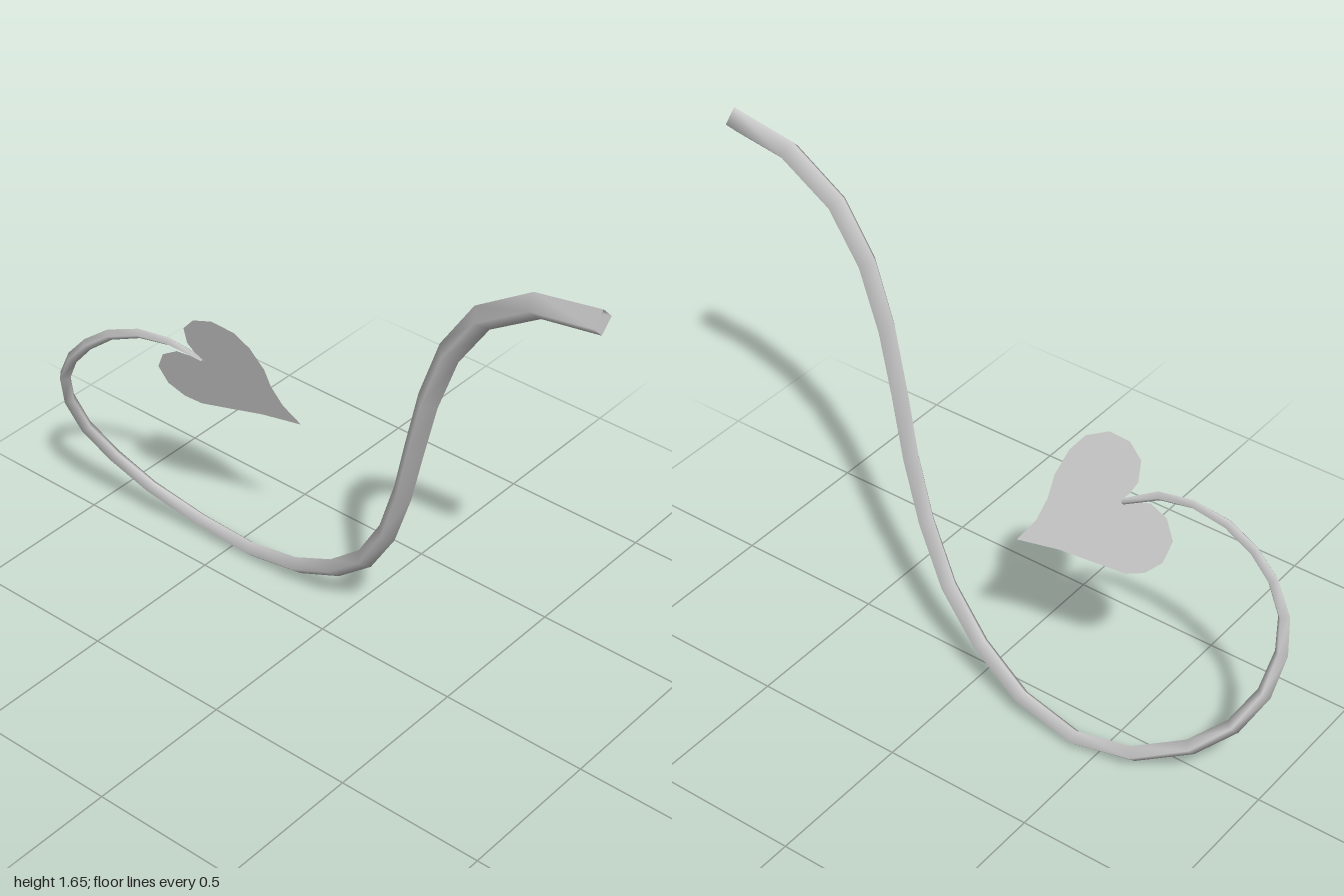
import * as THREE from 'three';

const material = new THREE.MeshStandardMaterial({ color: 0xcccccc, side: THREE.DoubleSide });

// Tail centre line, from the open root to the heart
const PATH = [
  [-0.05, 1.61, 1], [-0.05, 1.575, 0.79], [-0.05, 1.46, 0.61], [-0.048, 1.295, 0.5],
  [-0.04, 1.095, 0.425], [-0.023, 0.88, 0.365], [0, 0.69, 0.31], [0.023, 0.49, 0.235],
  [0.06, 0.31, 0.12], [0.095, 0.175, -0.03], [0.125, 0.075, -0.21], [0.135, 0.03, -0.42],
  [0.115, 0.06, -0.62], [0.063, 0.145, -0.79], [0.01, 0.25, -0.9], [-0.05, 0.37, -0.962],
  [-0.1, 0.5, -0.98], [-0.13, 0.61, -0.962], [-0.142, 0.71, -0.91], [-0.14, 0.79, -0.84],
  [-0.125, 0.855, -0.755], [-0.102, 0.893, -0.65], [-0.075, 0.893, -0.55], [-0.035, 0.85, -0.45],
].map((p) => new THREE.Vector3(...p));

// Tapered tube with a four-sided diamond section, one ring per path point
function tailGeometry() {
  const sides = 4, last = PATH.length - 1;
  const positions = [], index = [];
  PATH.forEach((p, i) => {
    const before = PATH[Math.max(i - 1, 0)], after = PATH[Math.min(i + 1, last)];
    const tangent = i === 0 ? new THREE.Vector3(0, 0, -1) : after.clone().sub(before).normalize();
    const side = new THREE.Vector3(1, 0, 0).addScaledVector(tangent, -tangent.x).normalize();
    const up = new THREE.Vector3().crossVectors(side, tangent);
    const t = i / last;
    const radius = i === last ? 0.01 : THREE.MathUtils.lerp(0.041, 0.014, t);
    for (let j = 0; j < sides; j++) {
      const a = (j / sides) * Math.PI * 2;
      const v = p.clone().addScaledVector(side, Math.cos(a) * radius).addScaledVector(up, Math.sin(a) * radius);
      positions.push(v.x, v.y, v.z);
      if (i < last) {
        const k = i * sides + j, n = i * sides + ((j + 1) % sides);
        index.push(k, k + sides, n, n, k + sides, n + sides);
      }
    }
  });
  const g = new THREE.BufferGeometry();
  g.setAttribute('position', new THREE.Float32BufferAttribute(positions, 3));
  g.setIndex(index);
  g.computeVertexNormals();
  // Wind the faces outward: the first corner lies on the +x side
  if (g.attributes.normal.getX(0) < 0) {
    g.setIndex(index.reverse());
    g.computeVertexNormals();
  }
  return g;
}

// Thin flat heart, drawn from the side and laid onto a slanted plane
function heartGeometry() {
  const outline = [
    [0.171, 0.66], [0.214, 0.73], [0.235, 0.807], [0.24, 0.88], [0.267, 0.963],
    [0.305, 1.016], [0.369, 1.043], [0.433, 1.027], [0.476, 0.979], [0.481, 0.914],
    [0.465, 0.877], [0.444, 0.85], [0.529, 0.861], [0.583, 0.829], [0.615, 0.765],
    [0.6, 0.695], [0.556, 0.652], [0.503, 0.636], [0.406, 0.647], [0.3, 0.66],
  ].map((p) => new THREE.Vector2(...p));
  const g = new THREE.ShapeGeometry(new THREE.Shape(outline));
  const pos = g.attributes.position;
  for (let i = 0; i < pos.count; i++) {
    const u = pos.getX(i), y = pos.getY(i);
    pos.setXYZ(i, 0.356 - 0.314 * y - 0.285 * u, y, -u);
  }
  g.computeVertexNormals();
  return g;
}

export function createModel() {
  const model = new THREE.Group();
  model.name = 'heartTippedTail';
  const tail = new THREE.Mesh(tailGeometry(), material);
  tail.name = 'tail';
  const heart = new THREE.Mesh(heartGeometry(), material);
  heart.name = 'heartTip';
  model.add(tail, heart);
  return model;
}
